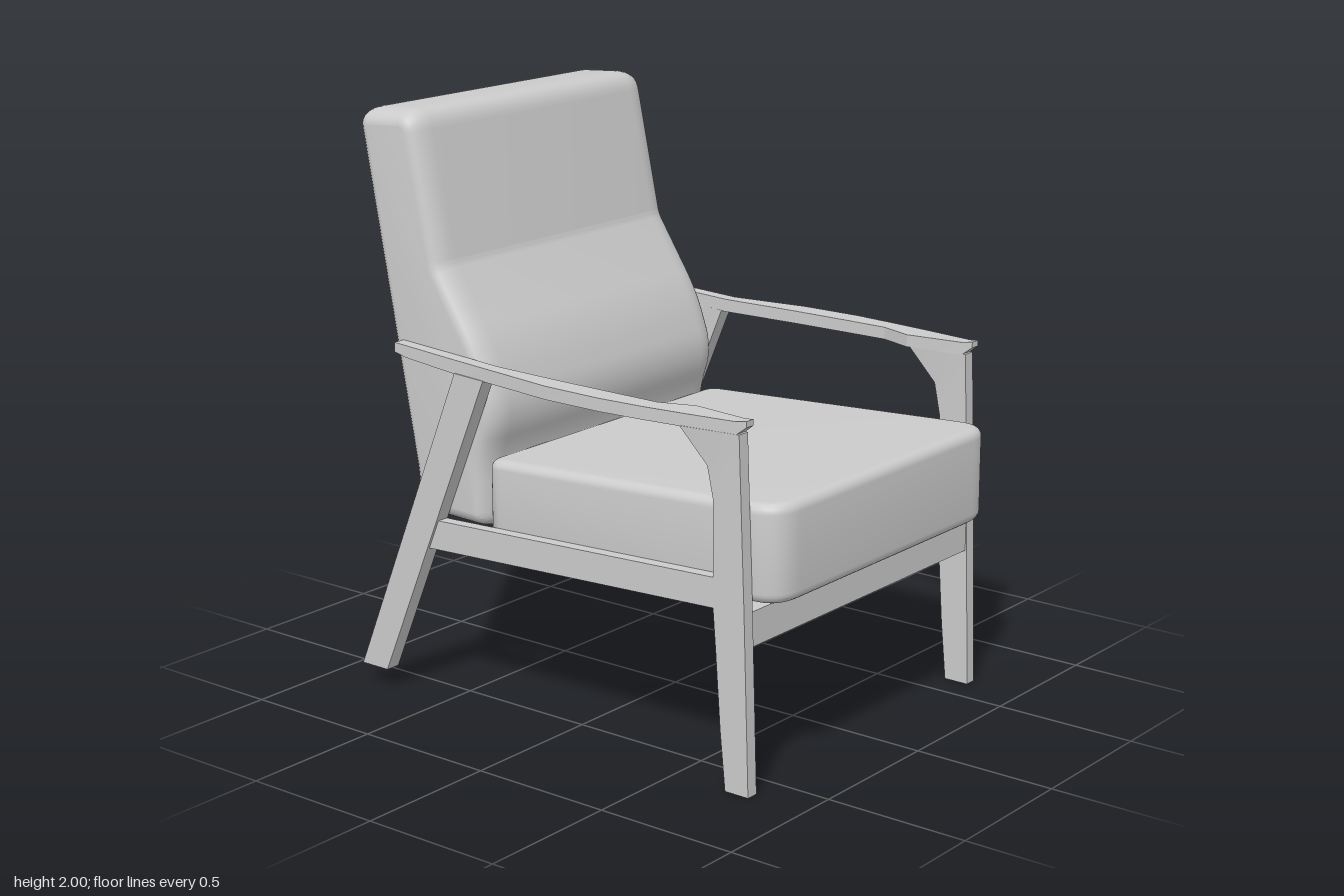
import * as THREE from 'three';
import { toCreasedNormals } from 'three/addons/utils/BufferGeometryUtils.js';

const material = new THREE.MeshStandardMaterial({ color: 0xcccccc });

function part(name, geometry, crease = 0.5) {
  const mesh = new THREE.Mesh(toCreasedNormals(geometry, crease), material);
  mesh.name = name;
  return mesh;
}

// Closed shape from corners [u, v, radius]
function roundedShape(corners) {
  const shape = new THREE.Shape();
  const n = corners.length;
  const at = (i) => new THREE.Vector2(...corners[(i + n) % n]);
  corners.forEach(([u, v, r = 0], i) => {
    const p = at(i);
    const a = p.clone().add(at(i - 1).sub(p).setLength(r));
    const b = p.clone().add(at(i + 1).sub(p).setLength(r));
    if (i === 0) shape.moveTo(a.x, a.y);
    else shape.lineTo(a.x, a.y);
    if (r > 0) shape.quadraticCurveTo(u, v, b.x, b.y);
  });
  shape.closePath();
  return shape;
}

// Side profile in (z, y), extruded across x from x0 to x1
function sideExtrude(corners, x0, x1, bevel = 0, inset = 0) {
  const geometry = new THREE.ExtrudeGeometry(roundedShape(corners), {
    depth: x1 - x0 - 2 * bevel, curveSegments: 8,
    bevelEnabled: bevel > 0, bevelThickness: bevel,
    bevelSize: inset, bevelOffset: -inset, bevelSegments: 6,
  });
  return geometry.rotateY(-Math.PI / 2).translate(x1 - bevel, 0, 0);
}

// Move every vertex by a rule
function warp(geometry, rule) {
  const pos = geometry.attributes.position;
  const v = new THREE.Vector3();
  for (let i = 0; i < pos.count; i++) {
    rule(v.fromBufferAttribute(pos, i));
    pos.setXYZ(i, v.x, v.y, v.z);
  }
  return geometry;
}

function seatCushion() {
  const w = 0.605, front = 0.875, back = -0.32, r = 0.12;
  const plan = roundedShape([[-w, -front, r], [w, -front, r], [w, -back, 0.07], [-w, -back, 0.07]]);
  const bevel = 0.035, bottom = 0.62, height = 0.325;
  const geometry = new THREE.ExtrudeGeometry(plan, {
    depth: height - 2 * bevel, curveSegments: 10, bevelThickness: bevel,
    bevelSize: bevel, bevelOffset: -bevel, bevelSegments: 6,
  });
  geometry.rotateX(-Math.PI / 2).translate(0, bottom + bevel, 0);
  // the top slopes down towards the back, the underside stays nearly level
  warp(geometry, (v) => {
    const t = (front - v.z) / (front - back);
    v.y -= t * (0.01 + 0.053 * (v.y - bottom) / height);
  });
  return part('seatCushion', geometry, 0.6);
}

function backCushion() {
  const profile = [
    [-0.612, 2.002, 0.072], [-0.88, 1.985, 0.072], [-0.652, 0.79, 0.02], [-0.638, 0.64, 0.06],
    [-0.32, 0.63, 0.06], [-0.32, 0.87, 0.08], [-0.262, 1.03, 0.09], [-0.335, 1.24, 0.09],
    [-0.505, 1.5, 0.02],
  ];
  return part('backCushion', sideExtrude(profile, -0.605, 0.588, 0.09, 0.052), 0.6);
}

// Stations along the armrest: z, inner x, outer x, bottom y, top y
const armStations = [
  [0.78, 0.61, 0.645, 1.19, 1.21],
  [0.745, 0.603, 0.651, 1.163, 1.205],
  [0.54, 0.578, 0.677, 1.163, 1.205],
  [0.42, 0.62, 0.69, 1.163, 1.205],
  [0.25, 0.62, 0.702, 1.163, 1.206],
  [0.03, 0.618, 0.698, 1.163, 1.207],
  [-0.25, 0.608, 0.658, 1.163, 1.208],
  [-0.42, 0.604, 0.654, 1.17, 1.217],
  [-0.62, 0.599, 0.65, 1.188, 1.229],
  [-0.67, 0.598, 0.65, 1.2, 1.232],
];

function armrest(side) {
  const n = armStations.length - 1;
  const geometry = warp(new THREE.BoxGeometry(1, 1, 1, 1, 1, n), (v) => {
    const [z, inner, outer, bottom, top] = armStations[Math.round((0.5 - v.z) * n)];
    v.set(side * (v.x * side > 0 ? outer : inner), v.y > 0 ? top : bottom, z);
  });
  return part('armrest', geometry, 0.3);
}

// Extrude between inner and outer distance on the given side
const onSide = (corners, side, inner, outer) =>
  sideExtrude(corners, side > 0 ? inner : -outer, side > 0 ? outer : -inner);

function frontLeg(side) {
  const profile = [
    [0.8, 0], [0.71, 0], [0.69, 0.2], [0.672, 0.45], [0.66, 0.6], [0.66, 0.94],
    [0.64, 1.05], [0.55, 1.165], [0.757, 1.165], [0.78, 0.6],
  ];
  const geometry = onSide(profile, side, 0.606, 0.65);
  // flare the bracket out to meet the armrest
  warp(geometry, (v) => {
    const t = THREE.MathUtils.clamp((v.y - 1.0) / 0.165, 0, 1) * THREE.MathUtils.clamp((0.757 - v.z) / 0.2, 0, 1);
    v.x += side * t * (Math.abs(v.x) > 0.63 ? 0.028 : -0.026);
  });
  return part('frontLeg', geometry, 0.3);
}

function sideFrame(side) {
  const group = new THREE.Group();
  group.name = side > 0 ? 'leftFrame' : 'rightFrame';
  const rearLeg = [[-0.27, 1.166], [-0.735, 0.07], [-0.85, 0.07], [-0.395, 1.172]];
  const rail = [[0.67, 0.695], [0.67, 0.595], [-0.55, 0.545], [-0.57, 0.646]];
  group.add(
    armrest(side),
    frontLeg(side),
    part('rearLeg', onSide(rearLeg, side, 0.606, 0.66)),
    part('sideRail', onSide(rail, side, 0.608, 0.65)),
  );
  return group;
}

export function createModel() {
  const model = new THREE.Group();
  model.name = 'armchair';
  model.add(seatCushion(), backCushion(), sideFrame(1), sideFrame(-1));

  const frontRail = new THREE.BoxGeometry(1.214, 0.115, 0.105).translate(0, 0.5375, 0.725);
  model.add(part('frontRail', frontRail));
  return model;
}
